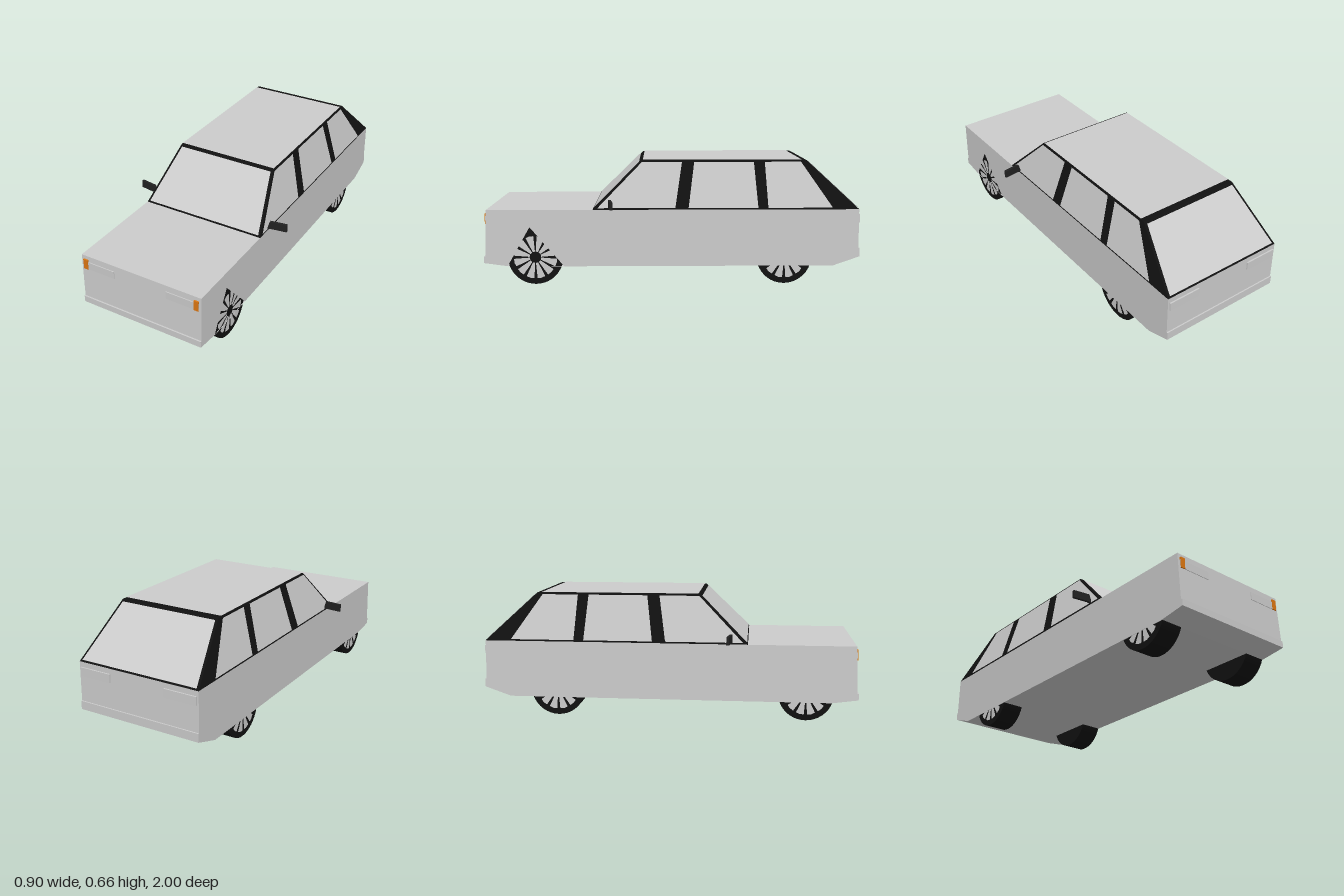
import * as THREE from 'three';

const grey = new THREE.MeshStandardMaterial({ color: 0xcccccc, side: THREE.DoubleSide, flatShading: true });
const black = new THREE.MeshStandardMaterial({ color: 0x111111, side: THREE.DoubleSide });
const dark = new THREE.MeshStandardMaterial({ color: 0x222222 });
const orange = new THREE.MeshStandardMaterial({ color: 0xdd7711 });

const W = 0.35, BELT = 0.4, ROOF = 0.655, ROOF_W = 0.285;

function add(parent, name, geometry, material, x = 0, y = 0, z = 0) {
  const mesh = new THREE.Mesh(geometry, material);
  mesh.name = name;
  mesh.position.set(x, y, z);
  parent.add(mesh);
  return mesh;
}

// Flat polygon from corners, counter-clockwise from outside, lifted along its normal
function panel(parent, name, corners, material, lift = 0) {
  const p = corners.map(c => new THREE.Vector3(...c));
  const n = p[1].clone().sub(p[0]).cross(p[2].clone().sub(p[0])).normalize();
  p.forEach(v => v.addScaledVector(n, lift));
  const tris = [];
  for (let i = 1; i < p.length - 1; i++) tris.push(p[0], p[i], p[i + 1]);
  const g = new THREE.BufferGeometry().setFromPoints(tris);
  g.computeVertexNormals();
  return add(parent, name, g, material);
}

function makeBody() {
  const body = new THREE.Group();
  body.name = 'body';
  // Side profile as [z, y], from the bonnet edge down and round to the tail
  const front = [[0.982, BELT], [0.992, 0.15], [1, 0.15], [1, 0.115]];
  const rear = [[-0.86, 0.096], [-1, 0.145], [-1, 0.19], [-0.993, 0.19], [-0.99, BELT]];
  const profile = [...front, [0.86, 0.096], ...rear];
  const notched = [...front, [0.875, 0.098], [0.755, 0.308], [0.575, 0.096], ...rear];

  // Skin wrapped across the width
  profile.forEach(([z, y], i) => {
    const [z2, y2] = profile[(i + 1) % profile.length];
    panel(body, 'bodySkin', [[W, y, z], [-W, y, z], [-W, y2, z2], [W, y2, z2]], grey);
  });
  // Sides, with a triangular wheel opening on the left only
  for (const [s, pts] of [[1, notched], [-1, profile]]) {
    const g = new THREE.ShapeGeometry(new THREE.Shape(pts.map(p => new THREE.Vector2(...p))));
    g.rotateY(-Math.PI / 2);
    add(body, s > 0 ? 'leftSide' : 'rightSide', g, grey, s * W);
  }
  // Lamps
  for (const s of [1, -1]) {
    add(body, 'headlamp', new THREE.BoxGeometry(0.185, 0.042, 0.012), grey, s * 0.245, 0.346, 0.982);
    add(body, 'indicator', new THREE.BoxGeometry(0.026, 0.056, 0.014), orange, s * 0.324, 0.352, 0.984);
    add(body, 'tailLamp', new THREE.BoxGeometry(0.18, 0.045, 0.012), grey, s * 0.25, 0.35, -0.992);
  }
  return body;
}

function makeCabin() {
  const cabin = new THREE.Group();
  cabin.name = 'cabin';
  const zf = 0.42, zr = -0.99, tf = 0.163, tr = -0.715;
  const sideX = y => W - (y - BELT) / (ROOF - BELT) * (W - ROOF_W);

  // Black frame
  panel(cabin, 'windscreenFrame', [[-W, BELT, zf], [W, BELT, zf], [ROOF_W, ROOF, tf], [-ROOF_W, ROOF, tf]], black);
  panel(cabin, 'rearWindowFrame', [[W, BELT, zr], [-W, BELT, zr], [-ROOF_W, ROOF, tr], [ROOF_W, ROOF, tr]], black);
  panel(cabin, 'roofFrame', [[-ROOF_W, ROOF, tf], [ROOF_W, ROOF, tf], [ROOF_W, ROOF, tr], [-ROOF_W, ROOF, tr]], black);
  add(cabin, 'windscreenSill', new THREE.BoxGeometry(2 * W - 0.01, 0.008, 0.01), black, 0, BELT, zf - 0.006);

  // Roof skin and end windows
  panel(cabin, 'roof', [[-0.283, ROOF, 0.155], [0.283, ROOF, 0.155], [0.283, ROOF, -0.69], [-0.283, ROOF, -0.69]], grey, 0.003);
  const endWindow = (name, z0, z1, s) => {
    const at = (x, t) => [s * x, BELT + t * (ROOF - BELT), z0 + t * (z1 - z0)];
    panel(cabin, name, [at(-0.336, 0.025), at(0.336, 0.025), at(0.275, 0.96), at(-0.275, 0.96)], grey, 0.003);
  };
  endWindow('windscreen', zf, tf, 1);
  endWindow('rearWindow', zr, tr, -1);

  // Side windows: bottom front, bottom rear, top rear, top front z
  const windows = [[0.395, -0.016, -0.052, 0.16], [-0.086, -0.455, -0.434, -0.117], [-0.508, -0.85, -0.685, -0.492]];
  for (const s of [1, -1]) {
    const side = (name, [a, b, c, d], y0, y1, mat, lift) => {
      const pts = [[a, y0], [b, y0], [c, y1], [d, y1]].map(([z, y]) => [s * sideX(y), y, z]);
      panel(cabin, name, s > 0 ? pts : pts.reverse(), mat, lift);
    };
    side('sideFrame', [zf, zr, tr, tf], BELT, ROOF, black, 0);
    windows.forEach(w => side('sideWindow', w, BELT + 0.008, ROOF - 0.009, grey, 0.003));
  }
  return cabin;
}

// Wing mirror on the left, mirrored for the right
function makeMirror(s) {
  const outline = [[0, 0], [0.02, 0.008], [0.106, 0.008], [0.106, 0.05], [0.014, 0.05], [0.004, 0.02]];
  const shape = new THREE.Shape(outline.map(([x, y]) => new THREE.Vector2(s * x, y)));
  const g = new THREE.ExtrudeGeometry(shape, { depth: 0.014, bevelEnabled: false });
  const mesh = new THREE.Mesh(g, dark);
  mesh.name = 'wingMirror';
  mesh.position.set(s * 0.345, 0.404, 0.326);
  mesh.rotation.y = s * 0.15;
  return mesh;
}

// Wheel with its outer face towards local +z
function makeWheel() {
  const wheel = new THREE.Group();
  wheel.name = 'wheel';
  const tyre = new THREE.CylinderGeometry(0.146, 0.146, 0.12, 40);
  tyre.rotateX(Math.PI / 2);
  add(wheel, 'tyre', tyre, black, 0, 0, -0.06);
  const spoke = new THREE.Shape([[-0.006, 0.03], [0.006, 0.03], [0.021, 0.112], [0, 0.116], [-0.021, 0.112]]
    .map(p => new THREE.Vector2(...p)));
  const g = new THREE.ShapeGeometry(spoke);
  for (let i = 0; i < 12; i++) {
    add(wheel, 'spoke', g, grey, 0, 0, 0.002).rotation.z = (i + 0.5) / 12 * Math.PI * 2;
  }
  return wheel;
}

export function createModel() {
  const model = new THREE.Group();
  model.name = 'car';
  model.add(makeBody(), makeCabin());
  for (const s of [1, -1]) {
    model.add(makeMirror(s));
    for (const z of [0.727, -0.597]) {
      const wheel = makeWheel();
      wheel.position.set(s * 0.347, 0.146, z);
      wheel.rotation.y = s * Math.PI / 2;
      model.add(wheel);
    }
  }
  return model;
}
